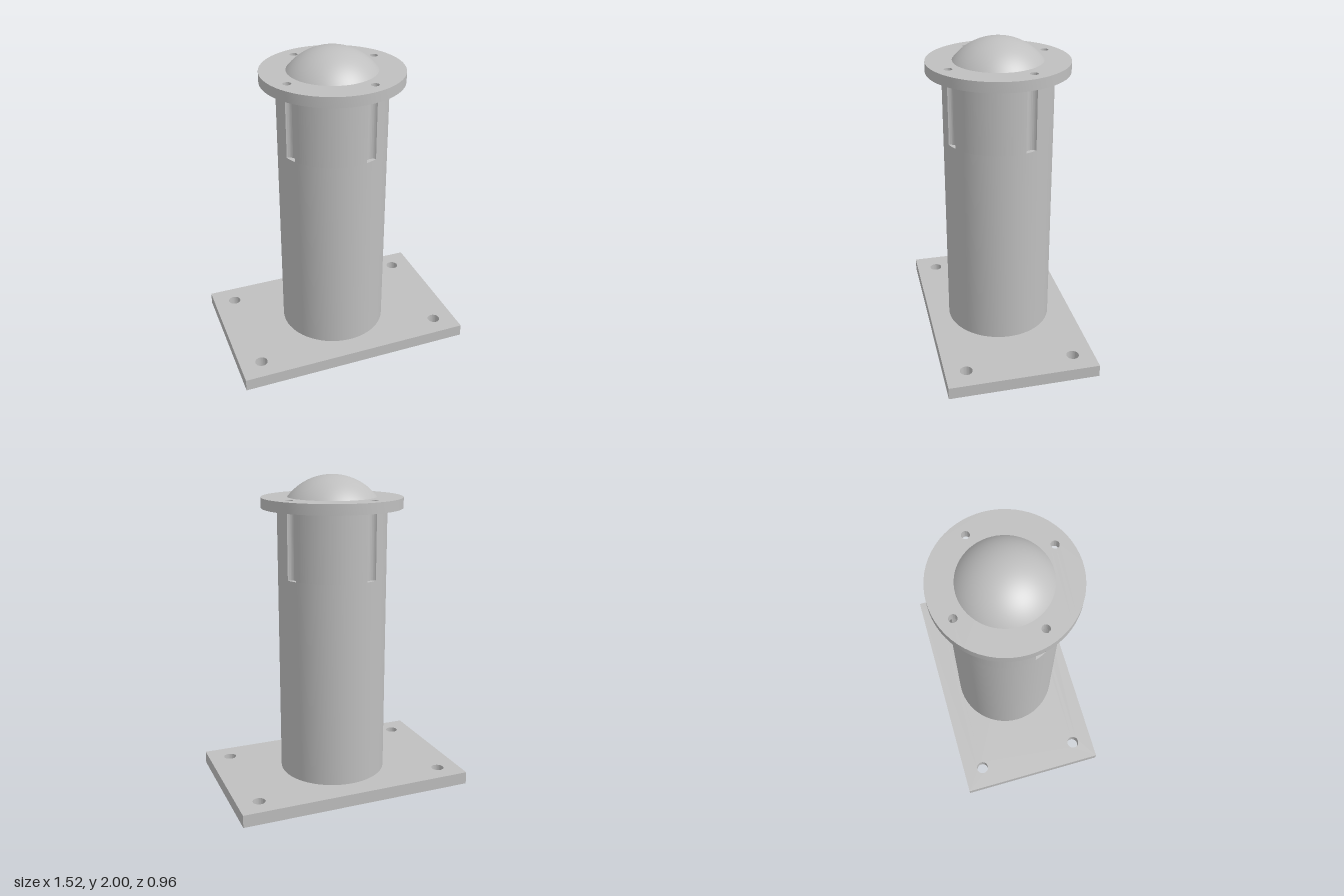
import * as THREE from 'three';
import { toCreasedNormals } from 'three/addons/utils/BufferGeometryUtils.js';

const SEG = 32;
const PLATE_TOP = 0.08, LEDGE = 1.38, FLANGE_BOTTOM = 1.8, FLANGE_TOP = 1.865;
const TUBE_R = 0.342, BORE_R = 0.18, FLANGE_R = 0.44, DOME_R = 0.277;
const NOTCH_C = 0.352, NOTCH_R = 0.04, SCREW_R = 0.025;
const ANGLES = [0, 1, 2, 3].map((k) => Math.PI / 8 + (k * Math.PI) / 2);

// Half angle of a notch mouth, and the start angle of its arc
const MOUTH = Math.acos((TUBE_R ** 2 + NOTCH_C ** 2 - NOTCH_R ** 2) / (2 * TUBE_R * NOTCH_C));
const ARC = Math.atan2(-TUBE_R * Math.sin(MOUTH), TUBE_R * Math.cos(MOUTH) - NOTCH_C);

const circle = (r, x = 0, y = 0) => new THREE.Shape().absarc(x, y, r, 0, Math.PI * 2, false);

function withHoles(shape, holes) {
  shape.holes.push(...holes);
  return shape;
}

function notchArc(shape, a) {
  return shape.absarc(NOTCH_C * Math.cos(a), NOTCH_C * Math.sin(a), NOTCH_R, a + ARC, a - 2 * Math.PI - ARC, true);
}

// Tube outline with four round notches
function notchedOutline() {
  const s = new THREE.Shape();
  for (const a of ANGLES) {
    notchArc(s, a);
    s.absarc(0, 0, TUBE_R, a + MOUTH, a + Math.PI / 2 - MOUTH, false);
  }
  return s;
}

// Flat horizontal face at height y
function face(shape, y, down = false) {
  const g = new THREE.ShapeGeometry(shape, SEG);
  if (down) {
    g.index.array.reverse();
    g.computeVertexNormals();
  }
  return g.rotateX(-Math.PI / 2).translate(0, y, 0);
}

// Upright walls of a shape, without its end caps
function walls(shape, y0, y1) {
  const full = new THREE.ExtrudeGeometry(shape, { depth: y1 - y0, bevelEnabled: false, curveSegments: SEG });
  const start = full.groups[1].start;
  const g = new THREE.BufferGeometry();
  g.setAttribute('position', new THREE.BufferAttribute(full.attributes.position.array.slice(start * 3), 3));
  g.rotateX(-Math.PI / 2).translate(0, y0, 0);
  return toCreasedNormals(g, Math.PI / 6);
}

export function createModel() {
  const model = new THREE.Group();
  const metal = new THREE.MeshStandardMaterial({ color: 0xbfbfbf });
  metal.name = 'grey metal';

  function part(name, ...geometries) {
    const group = new THREE.Group();
    group.name = name;
    geometries.forEach((g) => group.add(new THREE.Mesh(g, metal)));
    model.add(group);
  }

  // Base plate with four bolt holes
  const plate = () => new THREE.Shape([[-0.76, -0.48], [0.76, -0.48], [0.76, 0.48], [-0.76, 0.48]]
    .map(([x, y]) => new THREE.Vector2(x, y)));
  const bolts = [[1, 1], [-1, 1], [-1, -1], [1, -1]].map(([i, j]) => circle(0.04, 0.62 * i, 0.345 * j));
  part('basePlate',
    walls(withHoles(plate(), bolts), 0, PLATE_TOP),
    face(withHoles(plate(), [...bolts, circle(BORE_R)]), 0, true),
    face(withHoles(plate(), [...bolts, circle(TUBE_R)]), PLATE_TOP));

  // Column: plain below, notched near the top
  const ledges = ANGLES.map((a) => {
    const s = notchArc(new THREE.Shape(), a);
    s.absarc(0, 0, TUBE_R, a + MOUTH, a - MOUTH, true);
    return face(s, LEDGE);
  });
  part('column',
    walls(circle(TUBE_R), PLATE_TOP, LEDGE),
    walls(notchedOutline(), LEDGE, FLANGE_BOTTOM),
    ...ledges);

  // Bore up through the plate and column, turned to face inward
  const bore = new THREE.CylinderGeometry(BORE_R, BORE_R, FLANGE_BOTTOM, 64, 1, true);
  bore.translate(0, FLANGE_BOTTOM / 2, 0).scale(-1, 1, 1);
  part('bore', toCreasedNormals(bore, Math.PI / 6), face(circle(BORE_R), FLANGE_BOTTOM, true));

  // Top flange with screw holes over the notches
  const screws = ANGLES.map((a) => circle(SCREW_R, NOTCH_C * Math.cos(a), NOTCH_C * Math.sin(a)));
  part('flange',
    walls(withHoles(circle(FLANGE_R), screws), FLANGE_BOTTOM, FLANGE_TOP),
    face(withHoles(circle(FLANGE_R), [...screws, notchedOutline()]), FLANGE_BOTTOM, true),
    face(withHoles(circle(FLANGE_R), [...screws, circle(DOME_R)]), FLANGE_TOP));

  // Domed cap
  const rise = 2 - FLANGE_TOP;
  const R = (DOME_R ** 2 + rise ** 2) / (2 * rise);
  const dome = new THREE.SphereGeometry(R, 64, 20, 0, Math.PI * 2, 0, Math.asin(DOME_R / R));
  part('dome', dome.translate(0, 2 - R, 0));

  return model;
}
